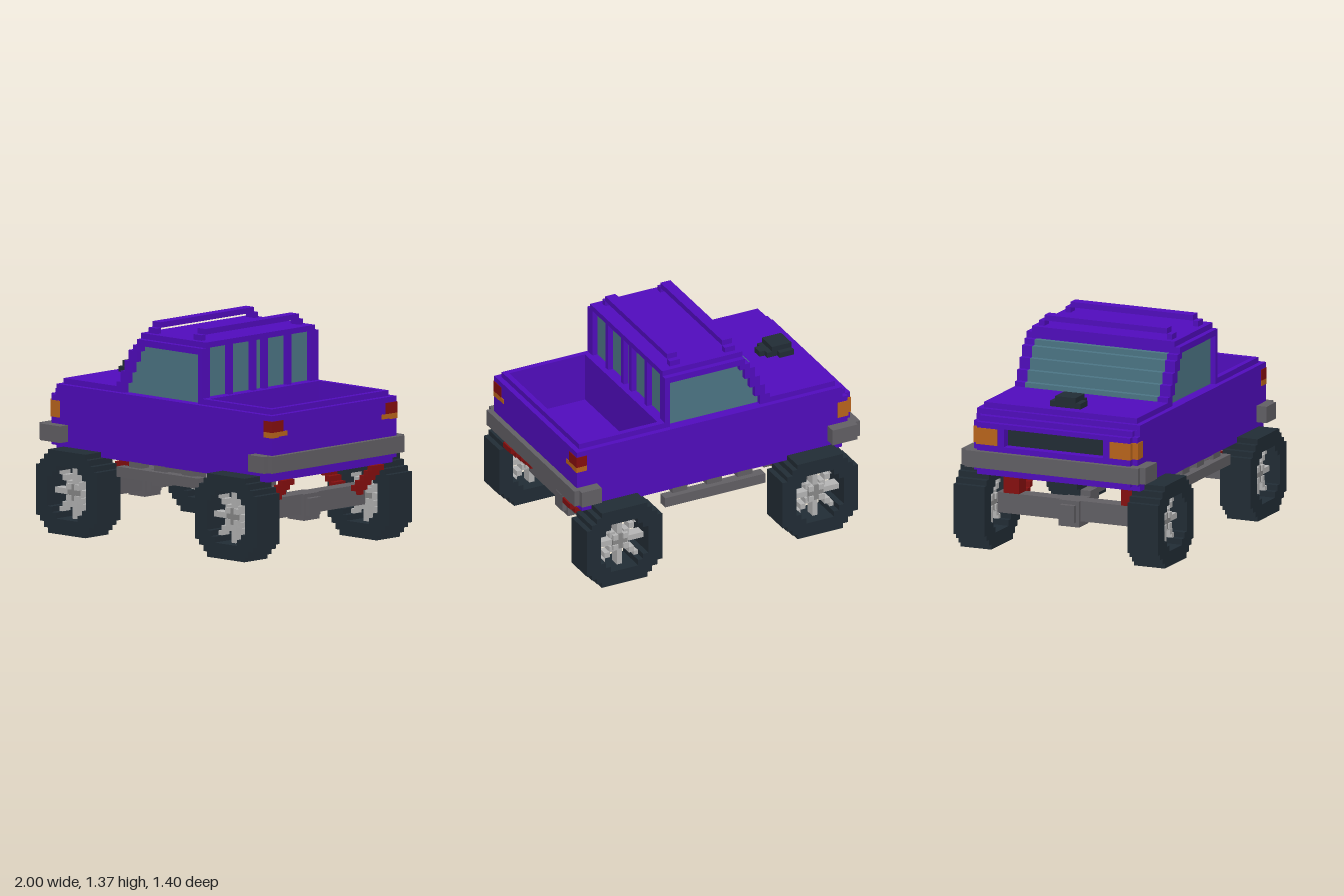
import * as THREE from 'three';

const mat = (name, color) => Object.assign(new THREE.MeshStandardMaterial({ color }), { name });

export function createModel() {
  const paint = mat('purplePaint', 0x520cc0), rubber = mat('darkRubber', 0x222d36);
  const glass = mat('tealGlass', 0x4d7787), steel = mat('greySteel', 0x636166);
  const red = mat('red', 0x880f0f), amber = mat('amber', 0xbd661c);
  const alloy = mat('lightAlloy', 0xb8b8b8), hubGrey = mat('hubGrey', 0x8a8a8a);
  const V = 0.035; // block size
  const truck = new THREE.Group();
  truck.name = 'pickupTruck';

  const part = (name, parent = truck) => {
    const g = new THREE.Group();
    g.name = name;
    parent.add(g);
    return g;
  };
  const box = (g, m, x0, x1, y0, y1, z0, z1) => {
    const mesh = new THREE.Mesh(new THREE.BoxGeometry(x1 - x0, y1 - y0, z1 - z0), m);
    mesh.position.set((x0 + x1) / 2, (y0 + y1) / 2, (z0 + z1) / 2);
    mesh.name = g.name + 'Block';
    g.add(mesh);
  };
  const wide = (g, m, x0, x1, y0, y1, z) => box(g, m, x0, x1, y0, y1, -z, z); // centred on z = 0
  const pair = (g, m, x0, x1, y0, y1, z0, z1) => { // mirrored in z
    box(g, m, x0, x1, y0, y1, z0, z1);
    box(g, m, x0, x1, y0, y1, -z1, -z0);
  };

  // Lower body and hood, with a stepped nose
  const body = part('body');
  wide(body, paint, -0.89, 0.93, 0.493, 0.53, 0.56);
  wide(body, paint, -0.895, 0.365, 0.53, 0.88, 0.56);
  wide(body, paint, -0.89, 0.365, 0.88, 0.915, 0.56);
  wide(body, paint, -0.86, -0.37, 0.915, 0.95, 0.525);
  wide(body, paint, -0.37, 0.30, 0.915, 0.95, 0.45);
  wide(body, paint, 0.295, 0.365, 0.915, 0.95, 0.525);
  // Nose around the recessed grille
  wide(body, paint, -0.965, -0.895, 0.53, 0.70, 0.525);
  wide(body, paint, -0.965, -0.895, 0.815, 0.845, 0.525);
  wide(body, paint, -0.93, -0.895, 0.845, 0.88, 0.525);
  pair(body, paint, -0.965, -0.895, 0.70, 0.815, 0.34, 0.525);
  pair(body, paint, -0.93, -0.895, 0.53, 0.845, 0.525, 0.56);
  wide(part('grille'), rubber, -0.905, -0.888, 0.70, 0.815, 0.34);

  // Open cargo bed
  const bed = part('cargoBed');
  wide(bed, paint, 0.365, 0.93, 0.53, 0.63, 0.56);
  pair(bed, paint, 0.365, 0.93, 0.63, 0.915, 0.49, 0.56);
  pair(bed, paint, 0.365, 0.93, 0.915, 0.95, 0.49, 0.525);
  const tailgate = part('tailgate');
  wide(tailgate, paint, 0.895, 0.93, 0.63, 0.95, 0.49);
  wide(tailgate, paint, 0.93, 0.965, 0.53, 0.915, 0.525);
  pair(tailgate, paint, 0.93, 0.965, 0.53, 0.915, 0.525, 0.56);

  // Stepped windscreen, side glass and front pillars
  const windscreen = part('windscreen'), sideGlass = part('sideWindow'), pillar = part('pillar');
  const tops = [0.98, 1.05, 1.12, 1.19, 1.225, 1.265];
  tops.forEach((top, i) => {
    const x = -0.405 + i * V, low = i ? tops[i - 1] : 0.915;
    if (i < 5) wide(windscreen, glass, x, 0.295, low, top, 0.455);
    if (i < 5) pair(sideGlass, glass, x + V, 0.295, low, top, 0.455, 0.49);
    pair(pillar, paint, x, x + 2 * V, low, top, 0.455, 0.525);
  });
  const roof = part('roof');
  wide(roof, paint, -0.23, 0.26, 1.225, 1.265, 0.525);
  pair(roof, paint, 0.26, 0.33, 1.225, 1.265, 0.455, 0.525);
  wide(roof, paint, -0.23, 0.33, 1.265, 1.30, 0.49);
  // Rear windows and their posts
  wide(part('rearWindow'), glass, 0.26, 0.295, 1.22, 1.265, 0.455);
  const posts = part('rearPost');
  for (const [a, b] of [[0.455, 0.525], [0.245, 0.28], [0.035, 0.07]])
    pair(posts, paint, 0.295, 0.33, 0.95, 1.265, a, b);

  // Roof bars on short legs
  for (const x of [-0.195, 0.19]) {
    const bar = part('roofBar');
    wide(bar, paint, x, x + 2 * V, 1.335, 1.37, 0.42);
    pair(bar, paint, x, x + 2 * V, 1.30, 1.335, 0.42, 0.455);
  }

  // Hood scoop
  const scoop = part('hoodScoop');
  wide(scoop, rubber, -0.79, -0.69, 0.95, 0.985, 0.105);
  wide(scoop, rubber, -0.69, -0.62, 0.95, 0.985, 0.07);
  wide(scoop, rubber, -0.62, -0.585, 0.95, 0.985, 0.035);
  wide(scoop, rubber, -0.79, -0.655, 0.985, 1.018, 0.07);

  // Lamps wrapped around the corners
  const head = part('headlight'), tail = part('tailLight'), turn = part('rearIndicator');
  pair(head, amber, -0.969, -0.94, 0.705, 0.81, 0.385, 0.529);
  pair(head, amber, -0.934, -0.86, 0.705, 0.81, 0.50, 0.564);
  pair(tail, red, 0.895, 0.969, 0.81, 0.88, 0.46, 0.564);
  pair(turn, amber, 0.895, 0.969, 0.775, 0.81, 0.50, 0.564);
  pair(turn, amber, 0.94, 0.969, 0.78, 0.81, 0.425, 0.50);

  // Wraparound bumpers
  for (const s of [-1, 1]) {
    const bumper = part(s < 0 ? 'frontBumper' : 'rearBumper');
    const span = (a, b) => (s < 0 ? [-b, -a] : [a, b]);
    wide(bumper, steel, ...span(0.96, 1), 0.56, 0.665, 0.56);
    pair(bumper, steel, ...span(0.93, 1), 0.56, 0.665, 0.52, 0.595);
    pair(bumper, steel, ...span(s < 0 ? 0.79 : 0.825, 0.965), 0.56, 0.665, 0.55, 0.63);
  }

  // Side steps on brackets
  const step = part('sideStep');
  pair(step, steel, -0.335, 0.365, 0.395, 0.46, 0.53, 0.597);
  for (const x of [-0.265, -0.05, 0.19]) pair(step, steel, x, x + 0.105, 0.46, 0.495, 0.49, 0.56);

  // Stair-stepped ring outlines for the tyres
  const ring = (quarter, Kind) => {
    const pts = [];
    for (let q = 0; q < 4; q++) {
      for (const [x, y] of quarter) {
        const a = (q * Math.PI) / 2, c = Math.round(Math.cos(a)), s = Math.round(Math.sin(a));
        pts.push(new THREE.Vector2(c * x - s * y, s * x + c * y));
      }
    }
    return new Kind(pts);
  };
  const tyreShape = ring([[0.263, -0.16], [0.263, 0.16], [0.23, 0.16], [0.23, 0.193],
    [0.193, 0.193], [0.193, 0.23], [0.16, 0.23]], THREE.Shape);
  tyreShape.holes.push(ring([[0.167, -0.095], [0.167, 0.095], [0.13, 0.095], [0.13, 0.13],
    [0.095, 0.13]], THREE.Path));
  const tyreGeo = new THREE.ExtrudeGeometry(tyreShape, { depth: 0.21, bevelEnabled: false });

  for (const cx of [-0.667, 0.702]) {
    for (const s of [-1, 1]) {
      const wheel = part('wheel');
      wheel.position.set(cx, 0.263, s * 0.595);
      const tyre = new THREE.Mesh(tyreGeo, rubber);
      tyre.name = 'tyre';
      tyre.position.z = -0.105;
      wheel.add(tyre);
      // Block spokes and hub
      const rim = part('spokes', wheel), hub = part('hub', wheel);
      wide(rim, alloy, -0.167, 0.167, -0.018, 0.018, 0.035);
      wide(rim, alloy, -0.018, 0.018, -0.167, 0.167, 0.035);
      for (const a of [-1, 1]) for (const b of [-1, 1]) for (const d of [0.05, 0.085, 0.12])
        wide(rim, alloy, a * d - 0.0185, a * d + 0.0185, b * d - 0.0185, b * d + 0.0185, 0.034);
      wide(hub, hubGrey, -0.052, 0.052, -0.052, 0.052, 0.045);
      for (const a of [-1, 1]) for (const b of [-1, 1])
        wide(rim, alloy, a * V - 0.0175, a * V + 0.0175, b * V - 0.0175, b * V + 0.0175, 0.055);
    }
    // Axle, differential and stepped drive shaft
    const axle = part('axle'), shaft = part('driveShaft');
    wide(axle, steel, cx - 0.05, cx + 0.05, 0.215, 0.345, 0.50);
    wide(axle, steel, cx - 0.07, cx + 0.07, 0.178, 0.345, 0.07);
    wide(axle, steel, cx - 0.10, cx + 0.10, 0.21, 0.32, 0.05);
    const dir = -Math.sign(cx);
    for (let i = 0; i < 6; i++) {
      const x = cx + dir * (0.14 + i * 0.096), y = 0.25 + i * V;
      wide(shaft, steel, x - 0.06, x + 0.06, y, y + 2 * V, V);
    }
    // Red shock absorbers splayed in steps up to the chassis
    const shock = part('shockAbsorber');
    for (const e of cx < 0 ? [dir] : [-1, 1]) {
      for (let i = 0; i < 6; i++) {
        const x = cx + e * (0.06 + i * V), y = 0.285 + i * V;
        pair(shock, red, x - 0.02, x + 0.02, y, y + V, i ? 0.35 : 0.42, 0.455);
      }
    }
    if (cx < 0) pair(shock, red, cx - 0.053, cx + 0.053, 0.345, 0.493, 0.35, 0.455);
  }
  wide(part('gearbox'), steel, -0.10, 0.15, 0.42, 0.493, V);
  return truck;
}
